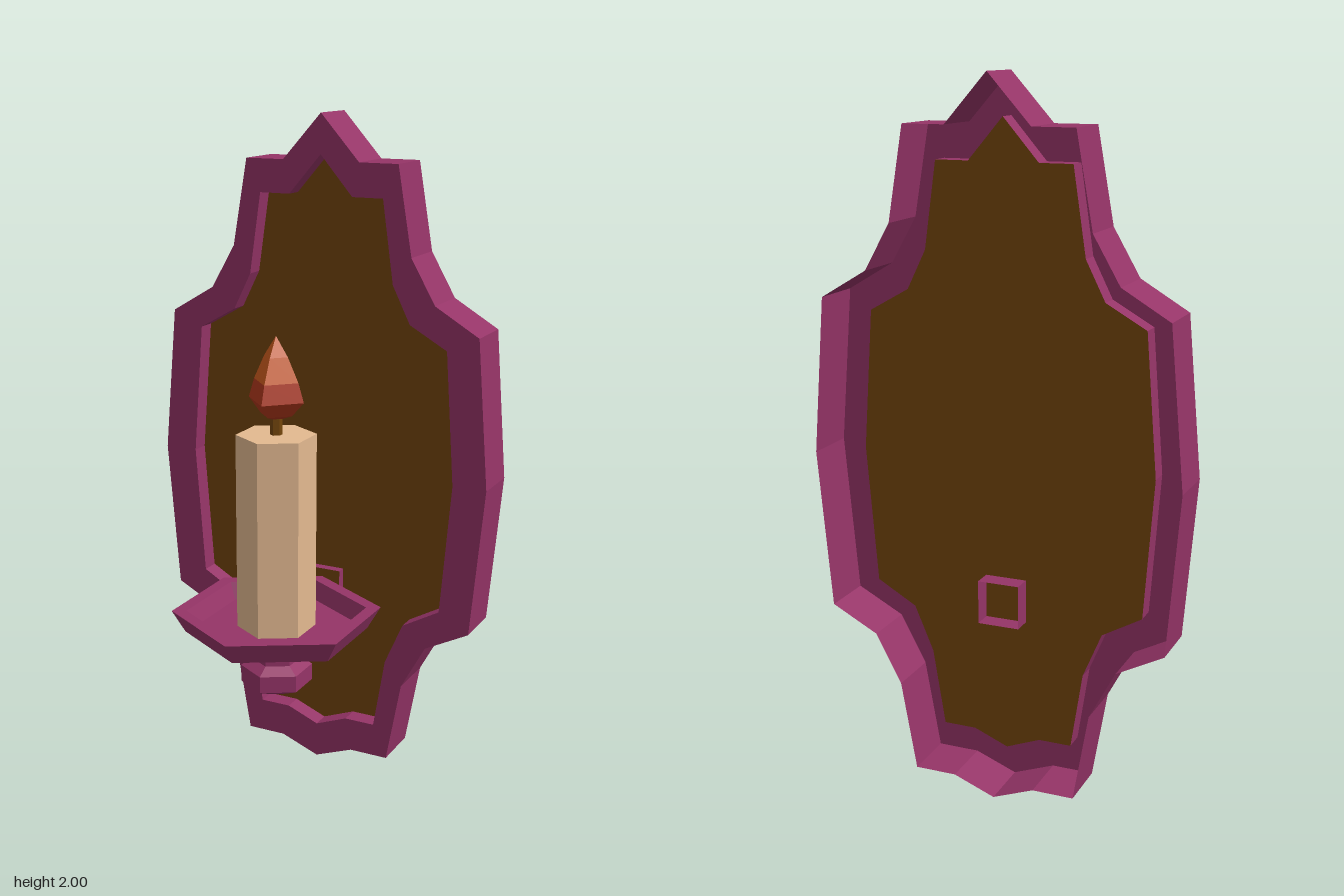
import * as THREE from 'three';

const material = (name, color, side = THREE.FrontSide) => {
  const m = new THREE.MeshStandardMaterial({ color, side, flatShading: true });
  m.name = name;
  return m;
};

// Mirror a right-half outline (top to bottom) into a closed counter-clockwise loop
const mirrorOutline = (half) => [
  ...half,
  ...half.slice(1, -1).reverse().map(([x, y]) => [-x, y]),
].map(([x, y]) => new THREE.Vector2(x, y)).reverse();

// Open wall following a closed outline from z0 to z1
const wall = (outline, z0, z1) => {
  const positions = [];
  outline.forEach((a, i) => {
    const b = outline[(i + 1) % outline.length];
    positions.push(
      a.x, a.y, z0, b.x, b.y, z0, b.x, b.y, z1,
      a.x, a.y, z0, b.x, b.y, z1, a.x, a.y, z1);
  });
  const geometry = new THREE.BufferGeometry();
  geometry.setAttribute('position', new THREE.Float32BufferAttribute(positions, 3));
  geometry.computeVertexNormals();
  return geometry;
};

// Faceted turned part; profile runs from bottom to top on the outside
const turned = (points, sides) => new THREE.LatheGeometry(
  points.map(([r, y]) => new THREE.Vector2(r, y)), sides).toNonIndexed();

export function createModel() {
  const plum = material('plum', 0x953467, THREE.DoubleSide);
  const brown = material('brown', 0x73450b, THREE.DoubleSide);
  const wax = material('wax', 0xe3b990);
  const orange = material('flameOrange', 0xca5a1d);
  const red = material('flameRed', 0xae361b);

  const model = new THREE.Group();
  model.name = 'wallSconce';
  const add = (parent, name, geometry, mat, x = 0, y = 0, z = 0) => {
    const mesh = new THREE.Mesh(geometry, mat);
    mesh.name = name;
    mesh.position.set(x, y, z);
    parent.add(mesh);
  };

  // Backplate: stepped frame, open at the back, around a recessed panel
  const back = -0.367, front = -0.212, panelZ = -0.268;
  const outer = mirrorOutline([
    [0, 2], [0.12, 1.867], [0.24, 1.867], [0.285, 1.61], [0.36, 1.48],
    [0.495, 1.4], [0.533, 0.96], [0.495, 0.51], [0.36, 0.44],
    [0.285, 0.3], [0.24, 0.046], [0.12, 0.046], [0, 0],
  ]);
  const inner = mirrorOutline([
    [0, 1.885], [0.1, 1.77], [0.195, 1.77], [0.23, 1.53], [0.285, 1.42],
    [0.4, 1.355], [0.43, 0.96], [0.4, 0.565], [0.285, 0.5],
    [0.23, 0.37], [0.195, 0.15], [0.1, 0.15], [0, 0.11],
  ]);
  const rim = new THREE.Shape(outer);
  rim.holes.push(new THREE.Path(inner));
  add(model, 'frameRim', new THREE.ShapeGeometry(rim), plum, 0, 0, front);
  add(model, 'frameOuterWall', wall(outer, back, front), plum);
  add(model, 'frameInnerWall', wall([...inner].reverse(), panelZ, front), plum);
  add(model, 'panel', new THREE.ShapeGeometry(new THREE.Shape(inner)), brown, 0, 0, panelZ);

  // Square open socket through the panel
  const square = [[-1, -1], [1, -1], [1, 1], [-1, 1]]
    .map(([x, y]) => new THREE.Vector2(0.06 * x, 0.062 * y));
  add(model, 'mountingSocket', wall(square, -0.323, -0.24), plum, 0, 0.565, 0);

  // Candle holder, all on one vertical axis
  const holder = new THREE.Group();
  holder.name = 'candleHolder';
  holder.position.z = 0.062;
  model.add(holder);

  add(holder, 'dish', turned([
    [0, 0.465], [0.08, 0.465], [0.15, 0.492], [0.267, 0.535], [0.306, 0.6],
    [0.263, 0.6], [0.238, 0.55], [0, 0.55],
  ], 6), plum);
  add(holder, 'knob', turned([
    [0, 0.34], [0.03, 0.34], [0.105, 0.375], [0.105, 0.425],
    [0.07, 0.445], [0.07, 0.465], [0.085, 0.48],
  ], 6), plum);
  add(holder, 'candle', new THREE.CylinderGeometry(0.115, 0.115, 0.58, 6), wax, 0, 0.84, 0);
  add(holder, 'wick', new THREE.CylinderGeometry(0.018, 0.018, 0.07, 6), brown, 0, 1.16, 0);

  // Four-sided flame in two colours
  add(holder, 'flameBase', turned([
    [0, 1.17], [0.05, 1.188], [0.087, 1.23], [0.07, 1.285],
  ], 4), red);
  add(holder, 'flameTip', turned([
    [0.07, 1.285], [0.037, 1.355], [0, 1.412],
  ], 4), orange);

  return model;
}
